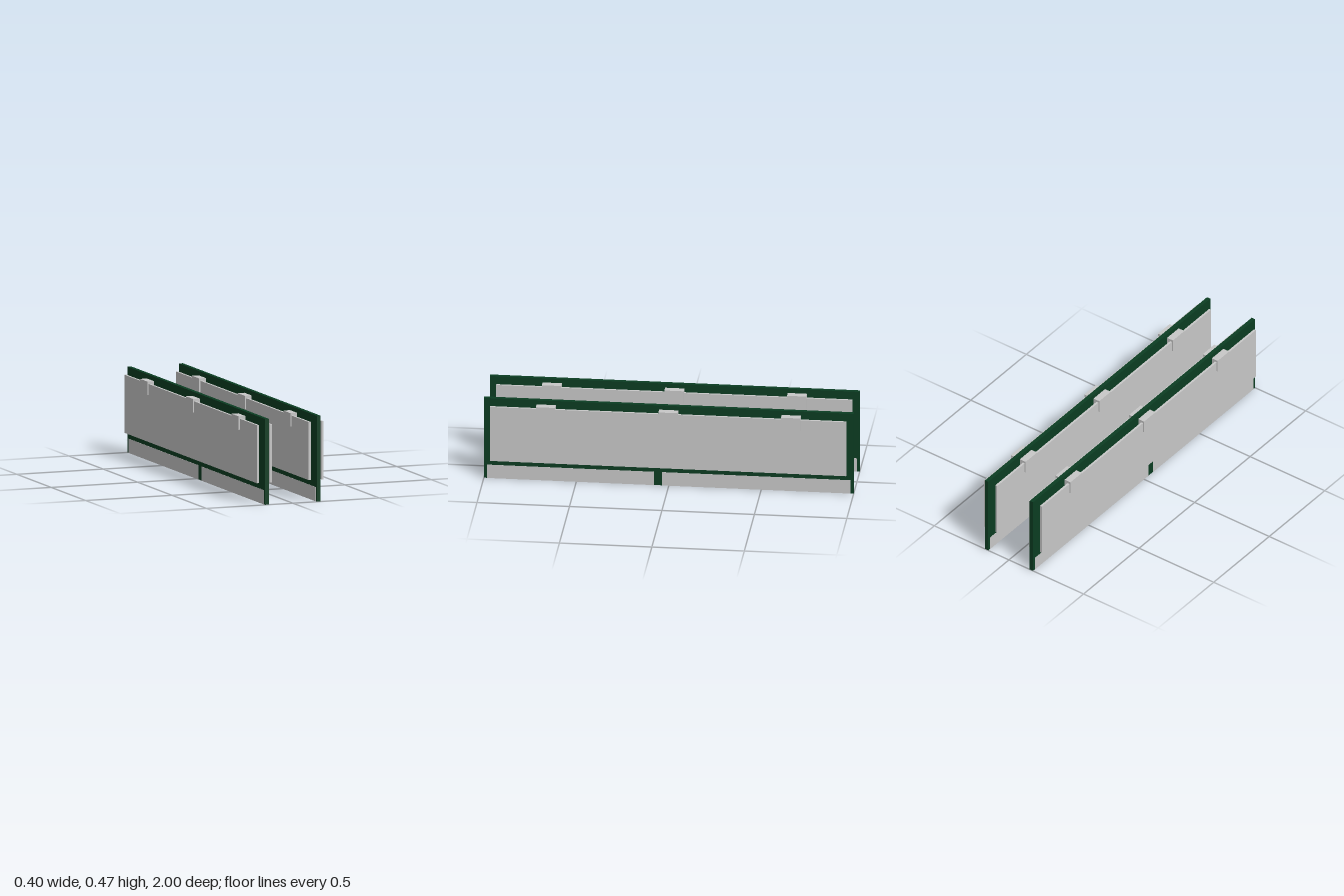
import * as THREE from 'three';

const green = new THREE.MeshStandardMaterial({ name: 'boardGreen', color: 0x0b3d22 });
const grey = new THREE.MeshStandardMaterial({ name: 'metalGrey', color: 0xc8c8c8 });
const black = new THREE.MeshStandardMaterial({ name: 'chipBlack', color: 0x222222 });

// Box given by its limits on each axis
function box(parent, name, material, [x0, x1], [y0, y1], [z0, z1]) {
  const mesh = new THREE.Mesh(new THREE.BoxGeometry(x1 - x0, y1 - y0, z1 - z0), material);
  mesh.position.set((x0 + x1) / 2, (y0 + y1) / 2, (z0 + z1) / 2);
  mesh.name = name;
  parent.add(mesh);
}

function createModule() {
  const g = new THREE.Group();
  g.name = 'memoryModule';

  // Circuit board
  box(g, 'circuitBoard', green, [-0.011, 0.011], [0.0005, 0.467], [-1, 1]);

  // Edge contacts on either side of the key
  box(g, 'rearContacts', grey, [-0.0118, 0.0118], [0, 0.078], [-0.984, 0.037]);
  box(g, 'frontContacts', grey, [-0.0118, 0.0118], [0, 0.078], [0.08, 0.984]);

  for (const side of [-1, 1]) {
    const span = (a, b) => (side > 0 ? [a, b] : [-b, -a]);
    // Row of nine memory chips
    for (let i = -4; i <= 4; i++) {
      const z = i * 0.198;
      box(g, 'memoryChip', black, span(0.011, 0.024), [0.184, 0.315], [z - 0.078, z + 0.078]);
    }
    // Heat spreader plate
    box(g, 'heatSpreader', grey, span(0.031, 0.0435), [0.114, 0.43], [-0.963, 0.963]);
    // Clips holding the plates
    for (const z of [-0.663, 0, 0.663]) {
      box(g, 'clip', grey, span(0.011, 0.05), [0.37, 0.443], [z - 0.052, z + 0.052]);
    }
  }

  // Small controller chip
  box(g, 'controllerChip', black, [0.011, 0.02], [0.355, 0.385], [-0.03, 0.03]);
  return g;
}

export function createModel() {
  const model = new THREE.Group();
  model.name = 'memoryModulePair';
  for (const x of [-0.15, 0.15]) {
    const stick = createModule();
    stick.position.x = x;
    model.add(stick);
  }
  return model;
}
